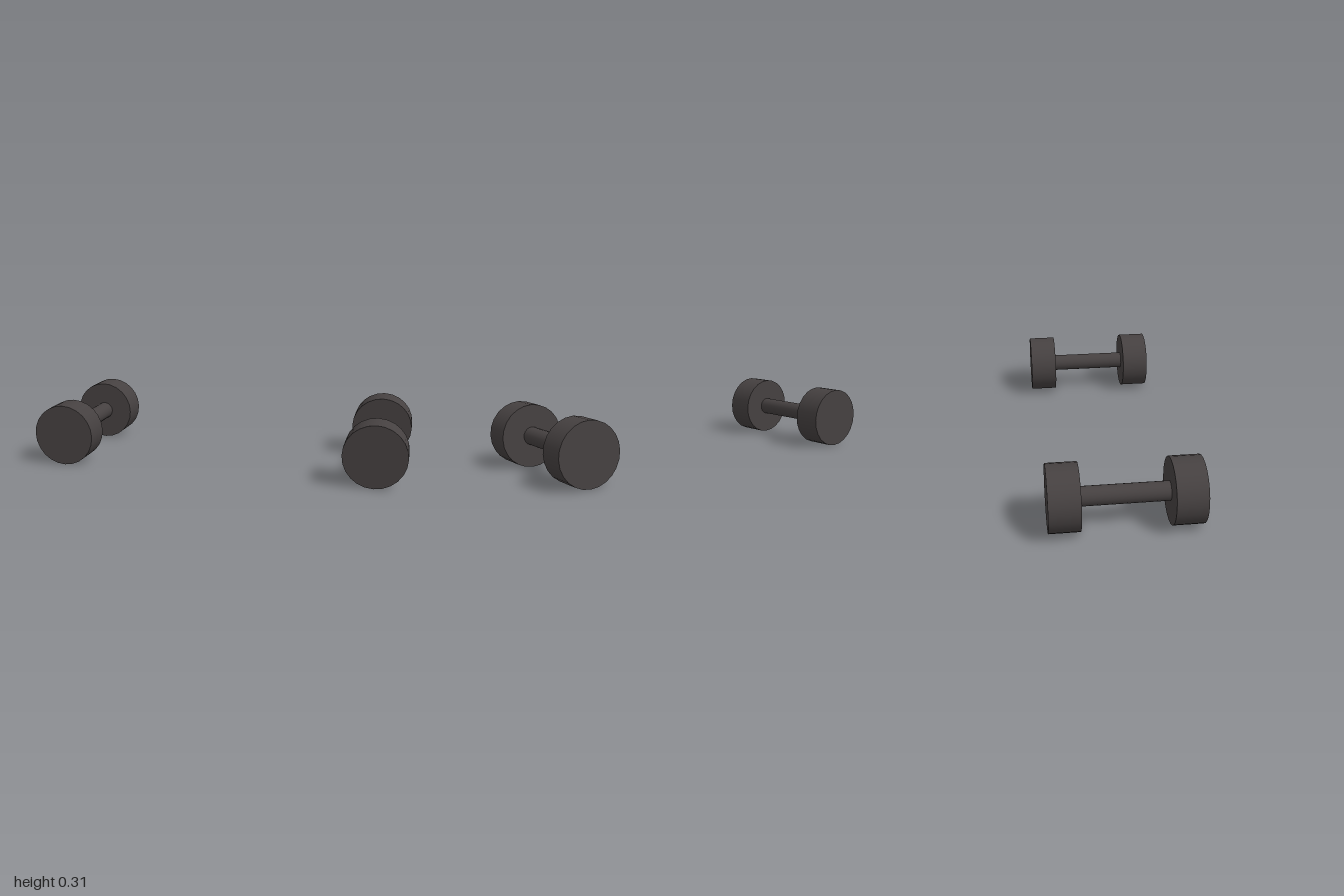
import * as THREE from 'three';

const RADIUS = 0.155, THICKNESS = 0.143, LENGTH = 0.693;

export function createModel() {
  const iron = new THREE.MeshStandardMaterial({ color: 0x464141 });
  iron.name = 'dark iron';

  // Cylinders lying along z, smooth round the side with crisp end caps
  const weightGeometry = new THREE.CylinderGeometry(RADIUS, RADIUS, THICKNESS, 24).rotateX(Math.PI / 2);
  const handleGeometry = new THREE.CylinderGeometry(0.045, 0.045, LENGTH - 2 * THICKNESS + 0.02, 20).rotateX(Math.PI / 2);

  function addPart(parent, name, geometry, z) {
    const mesh = new THREE.Mesh(geometry, iron);
    mesh.name = name;
    mesh.position.z = z;
    parent.add(mesh);
  }

  // One dumbbell: a handle between two round weights
  function dumbbell(name, x, z) {
    const group = new THREE.Group();
    group.name = name;
    const offset = (LENGTH - THICKNESS) / 2;
    addPart(group, 'handle', handleGeometry, 0);
    addPart(group, 'frontWeight', weightGeometry, offset);
    addPart(group, 'backWeight', weightGeometry, -offset);
    group.position.set(x, RADIUS, z);
    group.rotation.y = THREE.MathUtils.degToRad(25);
    return group;
  }

  const model = new THREE.Group();
  model.name = 'dumbbellPair';
  model.add(dumbbell('rightDumbbell', -0.713, 0.332), dumbbell('leftDumbbell', 0.713, -0.332));
  return model;
}
